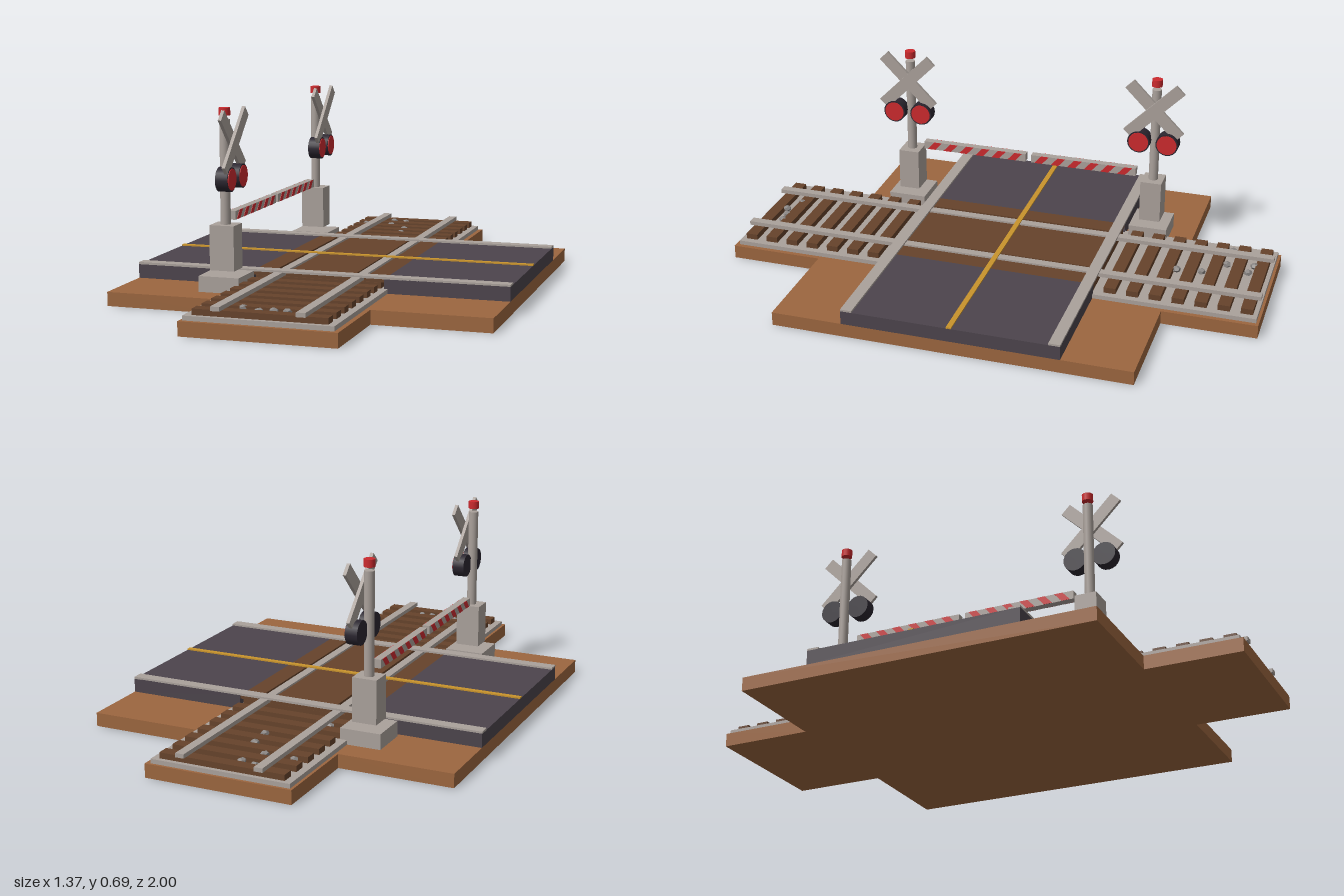
import * as THREE from 'three';

const mat = (name, color, side = THREE.FrontSide) => {
  const m = new THREE.MeshStandardMaterial({ color, side });
  m.name = name;
  return m;
};

export function createModel() {
  const dirt = mat('dirt', 0x9c663f);
  const wood = mat('wood', 0x66432b);
  const asphalt = mat('asphalt', 0x4c444c);
  const grey = mat('pale grey', 0xaaa19b);
  const stone = mat('stone', 0x8b8785);
  const red = mat('red', 0xcc2a2e);
  const dark = mat('dark housing', 0x2b2630);
  const yellow = mat('yellow', 0xc8932c);

  const root = new THREE.Group();
  root.name = 'railwayCrossing';

  const add = (parent, name, geo, material, x = 0, y = 0, z = 0) => {
    const mesh = new THREE.Mesh(geo, material);
    mesh.name = name;
    mesh.position.set(x, y, z);
    parent.add(mesh);
    return mesh;
  };
  // box given by its min and max on each axis
  const box = (parent, name, material, [x0, x1], [y0, y1], [z0, z1]) =>
    add(parent, name, new THREE.BoxGeometry(x1 - x0, y1 - y0, z1 - z0), material,
      (x0 + x1) / 2, (y0 + y1) / 2, (z0 + z1) / 2);

  // cross-shaped ground slab
  const a = 0.27, b = 0.685, c = 0.655;
  const cross = new THREE.Shape([
    [-a, -1], [a, -1], [a, -c], [b, -c], [b, c], [a, c],
    [a, 1], [-a, 1], [-a, c], [-b, c], [-b, -c], [-a, -c],
  ].map(([x, y]) => new THREE.Vector2(x, y)));
  const slab = new THREE.ExtrudeGeometry(cross, { depth: 0.05, bevelEnabled: false });
  slab.rotateX(-Math.PI / 2);
  add(root, 'ground', slab, dirt);

  // track: ballast, sleepers, rails
  const track = new THREE.Group();
  track.name = 'track';
  root.add(track);
  box(track, 'ballast', grey, [-0.26, 0.253], [0.05, 0.066], [-0.99, 0.985]);
  for (let i = 0; i < 24; i++) {
    const z = -0.952 + i * 0.0825;
    box(track, 'sleeper', wood, [-0.234, 0.228], [0.066, 0.087], [z - 0.022, z + 0.022]);
  }
  for (const x of [-0.147, 0.142])
    box(track, 'rail', grey, [x - 0.016, x + 0.016], [0.087, 0.102], [-0.99, 0.985]);

  // loose stones on the ballast
  const pebbles = [
    [-0.10, -0.925], [-0.045, -0.91], [-0.195, -0.83], [-0.085, -0.825], [-0.005, -0.745],
    [0.005, -0.655], [-0.167, -0.5], [-0.09, 0.878], [-0.025, 0.912], [0.02, 0.893], [0.065, 0.89],
  ];
  pebbles.forEach(([x, z], i) => {
    const p = add(track, 'pebble', new THREE.DodecahedronGeometry(0.016), stone, x, 0.08, z);
    p.scale.y = 0.75;
    p.rotation.y = i * 1.3;
  });

  // road halves and wooden crossing panels
  const road = new THREE.Group();
  road.name = 'road';
  root.add(road);
  box(road, 'roadRight', asphalt, [-0.685, -0.248], [0.05, 0.101], [-0.4, 0.393]);
  box(road, 'roadLeft', asphalt, [0.24, 0.685], [0.05, 0.101], [-0.4, 0.393]);
  for (const span of [[-0.248, -0.175], [-0.12, 0.118], [0.168, 0.24]])
    box(road, 'crossingPanel', wood, span, [0.088, 0.101], [-0.398, 0.391]);
  for (const z of [-0.379, 0.372])
    box(road, 'edgeStrip', grey, [-0.685, 0.685], [0.1, 0.108], [z - 0.021, z + 0.021]);
  box(road, 'centreLine', yellow, [-0.685, 0.685], [0.1, 0.106], [-0.014, 0.005]);

  // slanted stripe plate, drawn in the z-y plane
  const stripeShape = new THREE.Shape([
    new THREE.Vector2(-0.029, -0.0152), new THREE.Vector2(0.002, -0.0152),
    new THREE.Vector2(0.029, 0.0152), new THREE.Vector2(-0.002, 0.0152),
  ]);
  const stripeGeo = new THREE.ExtrudeGeometry(stripeShape, { depth: 0.002, bevelEnabled: false });
  stripeGeo.translate(0, 0, -0.001);
  stripeGeo.rotateY(Math.PI / 2);

  // signal posts with gate arms
  for (const [name, s] of [['frontSignal', 1], ['backSignal', -1]]) {
    const g = new THREE.Group();
    g.name = name;
    const px = -0.308, pz = s > 0 ? 0.485 : -0.49;
    g.position.set(px, 0, pz);
    root.add(g);

    box(g, 'plinth', grey, [-0.075, 0.075], [0.05, 0.106], [-0.073, 0.073]);
    box(g, 'cabinet', grey, [-0.045, 0.045], [0.122, 0.281], [-0.04, 0.04]);
    add(g, 'pole', new THREE.CylinderGeometry(0.018, 0.018, 0.367, 16), grey, 0, 0.4645, 0);
    add(g, 'beacon', new THREE.CylinderGeometry(0.02, 0.02, 0.027, 16), red, 0, 0.675, 0);

    // crossed boards
    for (const k of [1, -1]) {
      const board = add(g, 'crossBoard', new THREE.BoxGeometry(0.012, 0.275, 0.046), grey,
        0.033 + k * 0.006, 0.573, 0);
      board.rotation.x = -k * Math.PI / 4;
    }

    // twin lamps facing +x
    for (const k of [-1, 1]) {
      const housing = new THREE.CylinderGeometry(0.043, 0.043, 0.045, 20).rotateZ(-Math.PI / 2);
      add(g, 'lampHousing', housing, dark, 0.0235, 0.446, k * 0.054);
      const lens = new THREE.CylinderGeometry(0.038, 0.038, 0.004, 20).rotateZ(-Math.PI / 2);
      add(g, 'lampLens', lens, red, 0.0465, 0.446, k * 0.054);
    }

    // gate arm reaching the road middle
    const arm = new THREE.Group();
    arm.name = 'gateArm';
    arm.position.set(0, 0.303, (s > 0 ? 0.222 : -0.216) - pz);
    g.add(arm);
    add(arm, 'armBar', new THREE.BoxGeometry(0.028, 0.031, 0.415), grey);
    for (let i = 0; i < 6; i++)
      for (const k of [-1, 1])
        add(arm, 'armStripe', stripeGeo, red, k * 0.0145, 0, -0.165 + i * 0.066);
  }
  return root;
}
